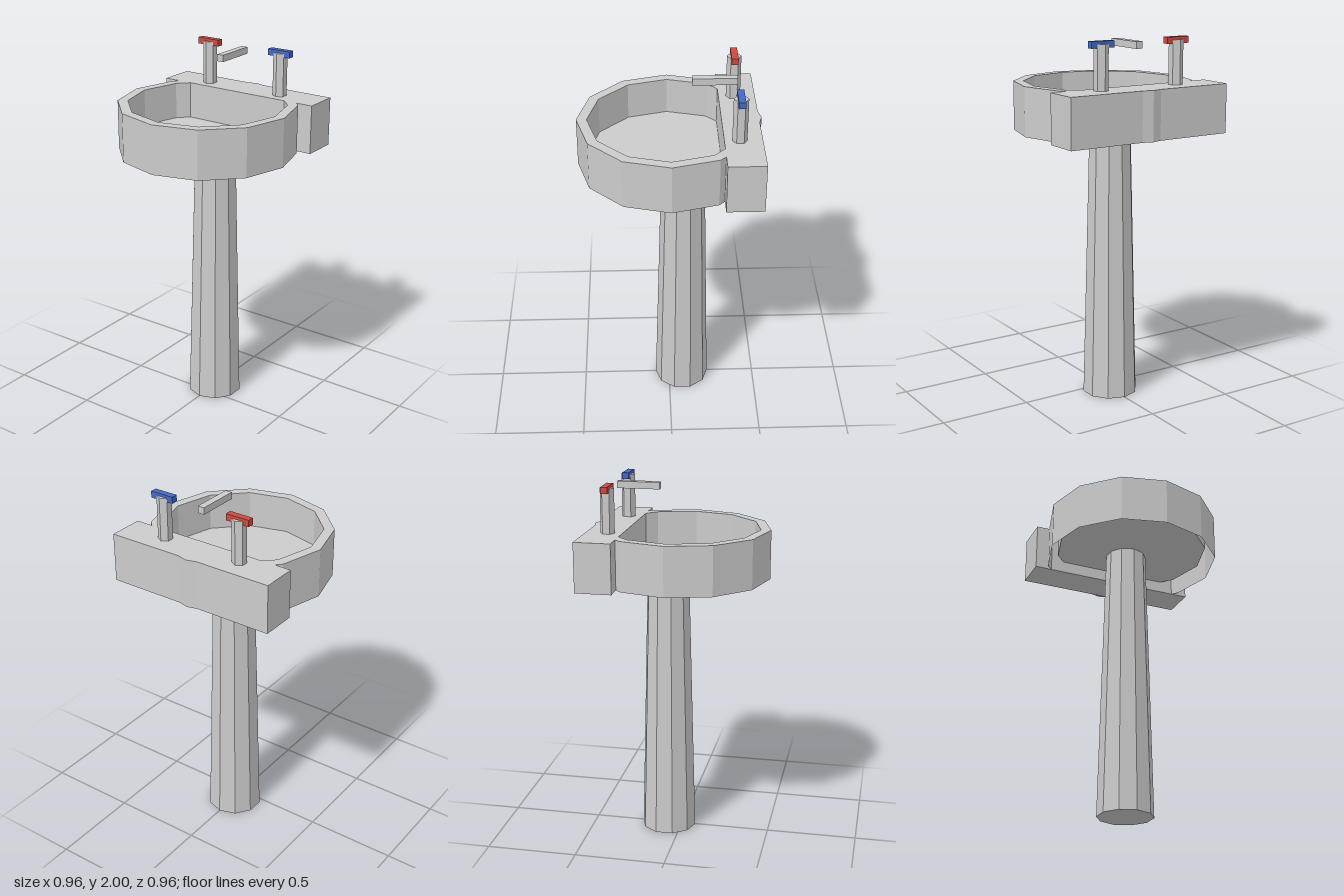
import * as THREE from 'three';

export function createModel() {
  const model = new THREE.Group();
  model.name = 'pedestalSink';
  const mat = (color, side = THREE.FrontSide) =>
    new THREE.MeshStandardMaterial({ color, side, flatShading: true });
  const grey = mat(0xcccccc);

  const add = (name, geometry, material, x, y, z) => {
    const mesh = new THREE.Mesh(geometry, material);
    mesh.name = name;
    mesh.position.set(x, y, z);
    model.add(mesh);
    return mesh;
  };
  // Box given by its min and max along each axis
  const box = (name, material, [x0, x1], [y0, y1], [z0, z1]) =>
    add(name, new THREE.BoxGeometry(x1 - x0, y1 - y0, z1 - z0), material,
      (x0 + x1) / 2, (y0 + y1) / 2, (z0 + z1) / 2);

  const bottom = 1.485, rim = 1.75, floor = 1.55;

  // Twelve-sided bowl: floor, inner wall, flat rim and outer skirt, open below
  const profile = [[0.48, bottom], [0.48, rim], [0.425, rim], [0.425, floor], [0, floor]]
    .map(([r, y]) => new THREE.Vector2(r, y));
  add('basin', new THREE.LatheGeometry(profile, 12), mat(0xcccccc, THREE.DoubleSide), 0, 0, 0);

  // Straight ledge across the back that carries the taps
  box('backLedge', grey, [-0.48, 0.48], [bottom, rim], [-0.465, -0.27]);

  // Tapered ten-sided column
  add('pedestal', new THREE.CylinderGeometry(0.1135, 0.153, floor, 10), grey, 0, floor / 2, -0.075);

  // Spout reaching over the bowl
  box('spout', grey, [-0.019, 0.019], [1.948, 1.985], [-0.348, -0.117]);

  // Hot tap on the right, cold tap on the left
  const tapZ = -0.348, stemTop = 1.985;
  for (const [name, side, color] of [['hot', -1, 0xcc4a40], ['cold', 1, 0x4468c4]]) {
    const x = 0.231 * side;
    add(name + 'TapStem', new THREE.CylinderGeometry(0.038, 0.038, stemTop - rim, 6), grey,
      x, (stemTop + rim) / 2, tapZ);
    box(name + 'TapHandle', mat(color), [x - 0.067, x + 0.067], [1.965, 2], [tapZ - 0.018, tapZ + 0.018]);
  }
  return model;
}
